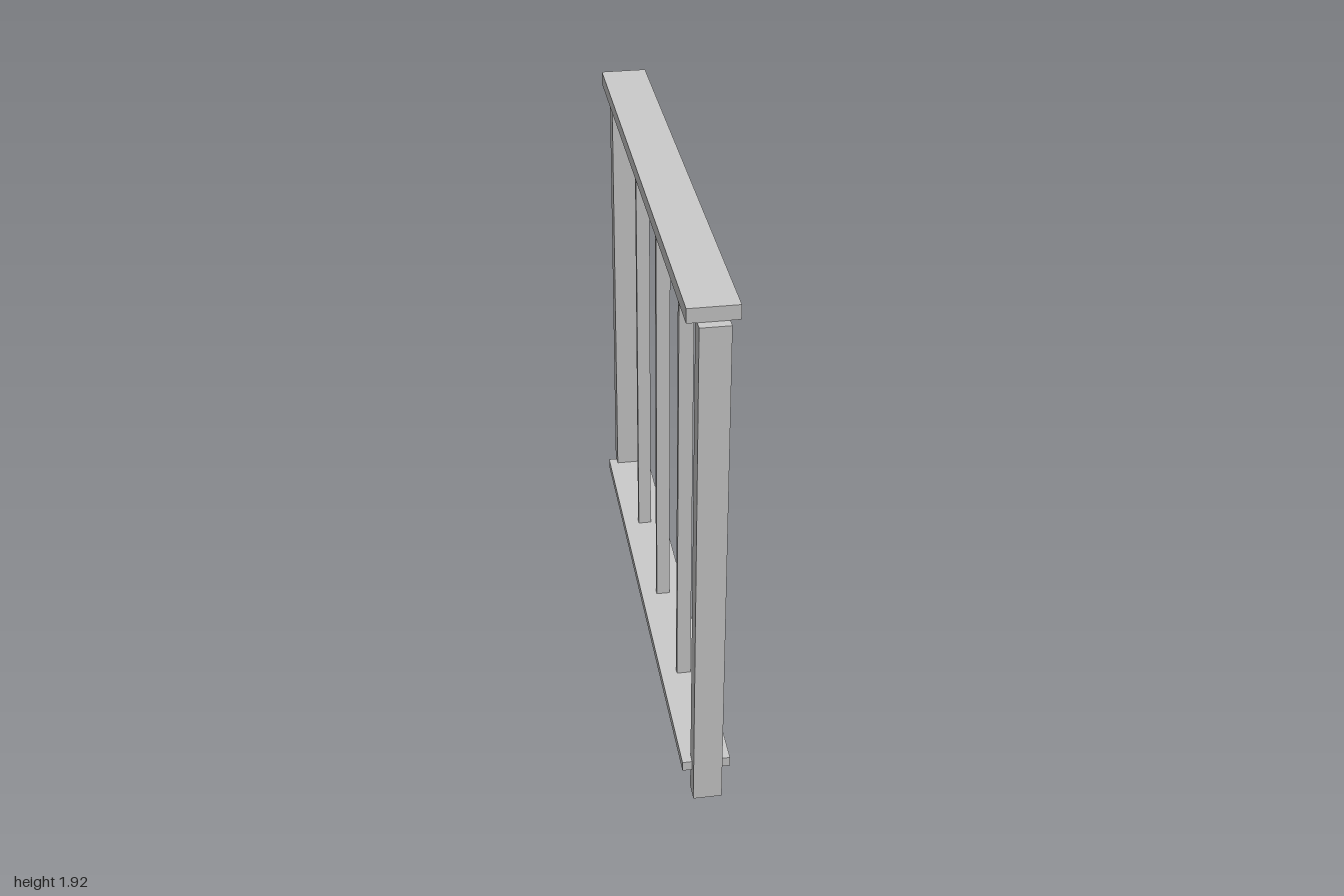
import * as THREE from 'three';

const material = new THREE.MeshStandardMaterial({ color: 0xcccccc, flatShading: true });

// Box centred on x = 0, standing between two heights
function bar(name, width, depth, bottom, top, z = 0) {
  const mesh = new THREE.Mesh(new THREE.BoxGeometry(width, top - bottom, depth), material);
  mesh.name = name;
  mesh.position.set(0, (bottom + top) / 2, z);
  return mesh;
}

export function createModel() {
  const group = new THREE.Group();
  group.name = 'railingPanel';

  // Horizontal rails, ending halfway through the posts
  const railLength = 1.934;
  group.add(bar('topRail', 0.167, railLength, 1.87, 1.92));
  group.add(bar('bottomRail', 0.167, railLength, 0.105, 0.142));

  // End posts
  for (const side of [1, -1]) {
    group.add(bar(side > 0 ? 'frontPost' : 'backPost', 0.1, 0.066, 0, 1.87, side * 0.967));
  }

  // Evenly spaced balusters between the rails
  for (let i = -1; i <= 1; i++) {
    group.add(bar(`baluster${i + 2}`, 0.05, 0.024, 0.142, 1.87, i * 0.4835));
  }
  return group;
}
